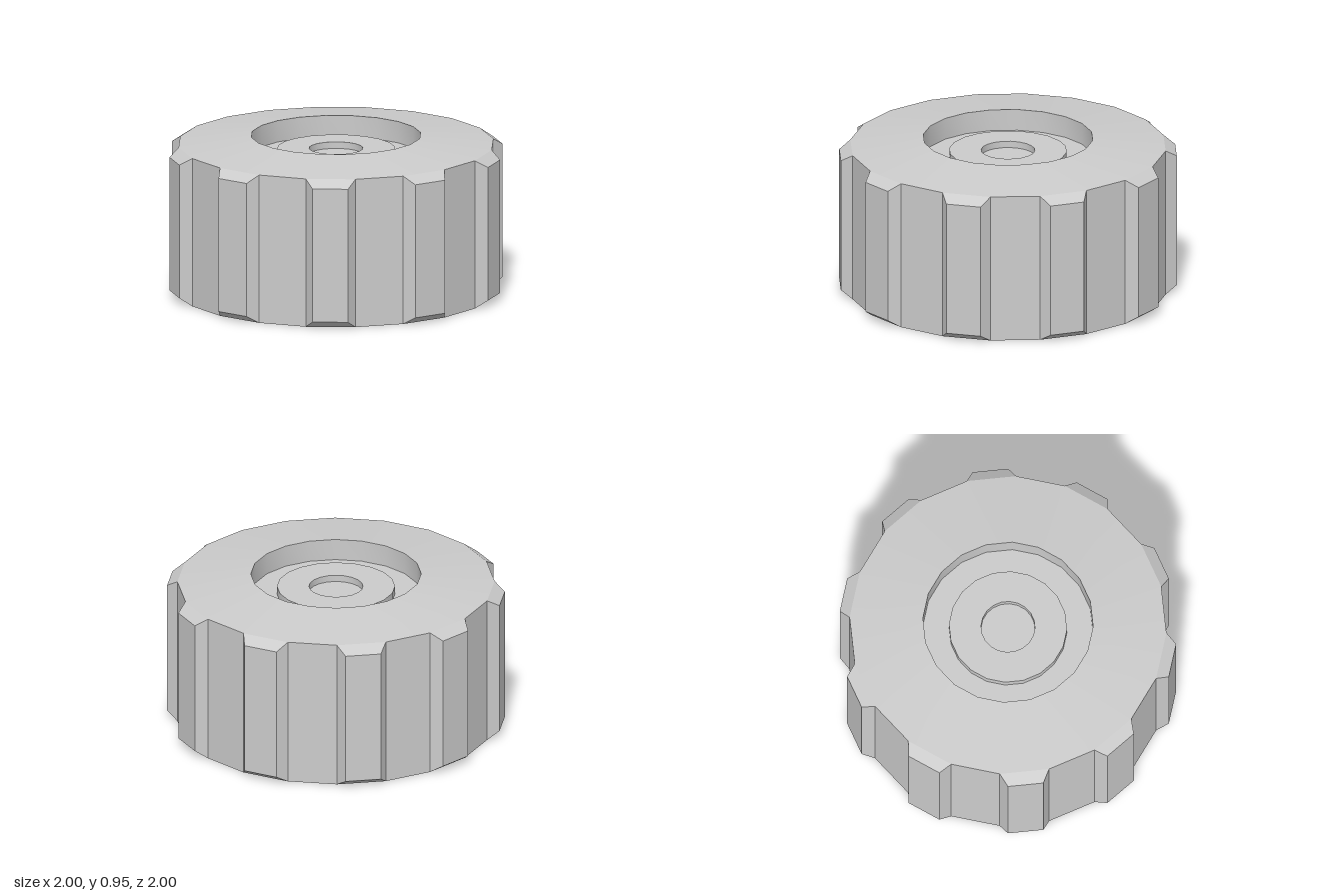
import * as THREE from 'three';
import { toCreasedNormals } from 'three/addons/utils/BufferGeometryUtils.js';

const SIDES = 20;
const STEP = (Math.PI * 2) / SIDES;
const R = 0.94, LUG_R = 1.002, HEIGHT = 0.9;
const LUG_INSET = THREE.MathUtils.degToRad(2.95);
const LUG_BEVEL = 0.045;

const material = new THREE.MeshStandardMaterial({ color: 0xcccccc });

function makeMesh(name, geometry) {
  const mesh = new THREE.Mesh(geometry, material);
  mesh.name = name;
  return mesh;
}

// Turned part with smooth curves and sharp rims
function turned(name, profile) {
  const points = profile.map(([r, y]) => new THREE.Vector2(r, y));
  return makeMesh(name, toCreasedNormals(new THREE.LatheGeometry(points, SIDES), 0.45));
}

const polar = (angle, r, y) => [Math.sin(angle) * r, y, Math.cos(angle) * r];

// Upright panel between two angles: bottom-left, bottom-right, top-right, top-left
const panel = (a0, a1, r, y0, y1) => [
  polar(a0, r, y0), polar(a1, r, y0), polar(a1, r, y1), polar(a0, r, y1),
];

// Flat-shaded geometry from four-cornered faces
function fromQuads(quads) {
  const positions = quads.flatMap(([a, b, c, d]) => [a, b, c, a, c, d]).flat();
  const geometry = new THREE.BufferGeometry();
  geometry.setAttribute('position', new THREE.Float32BufferAttribute(positions, 3));
  geometry.computeVertexNormals();
  return geometry;
}

export function createModel() {
  const wheel = new THREE.Group();
  wheel.name = 'wheel';

  // Tread: plain facets alternating with raised, bevelled lugs
  const tread = new THREE.Group();
  tread.name = 'tread';
  for (let i = 0; i < SIDES; i++) {
    const a0 = i * STEP, a1 = a0 + STEP;
    const base = panel(a0, a1, R, 0, HEIGHT);
    if (i % 2) {
      tread.add(makeMesh('treadFacet', fromQuads([base])));
      continue;
    }
    const face = panel(a0 + LUG_INSET, a1 - LUG_INSET, LUG_R, LUG_BEVEL, HEIGHT - LUG_BEVEL);
    const bevels = base.map((corner, k) => {
      const n = (k + 1) % 4;
      return [corner, base[n], face[n], face[k]];
    });
    tread.add(makeMesh('treadLug', fromQuads([face, ...bevels])));
  }
  wheel.add(tread);

  // Underside with its recess
  wheel.add(turned('innerSidewall', [[0, 0.135], [0.505, 0.135], [0.505, 0], [R, 0]]));

  // Sloping outer side and the recess wall and floor
  wheel.add(turned('outerSidewall', [[R, HEIGHT], [0.505, 0.95], [0.505, 0.82], [0.35, 0.82]]));

  // Raised hub with a shallow axle hole
  wheel.add(turned('hub', [[0.35, 0.82], [0.35, 0.87], [0.16, 0.87], [0.16, 0.83], [0, 0.83]]));

  wheel.rotation.y = THREE.MathUtils.degToRad(-0.6);
  const model = new THREE.Group();
  model.add(wheel);
  return model;
}
